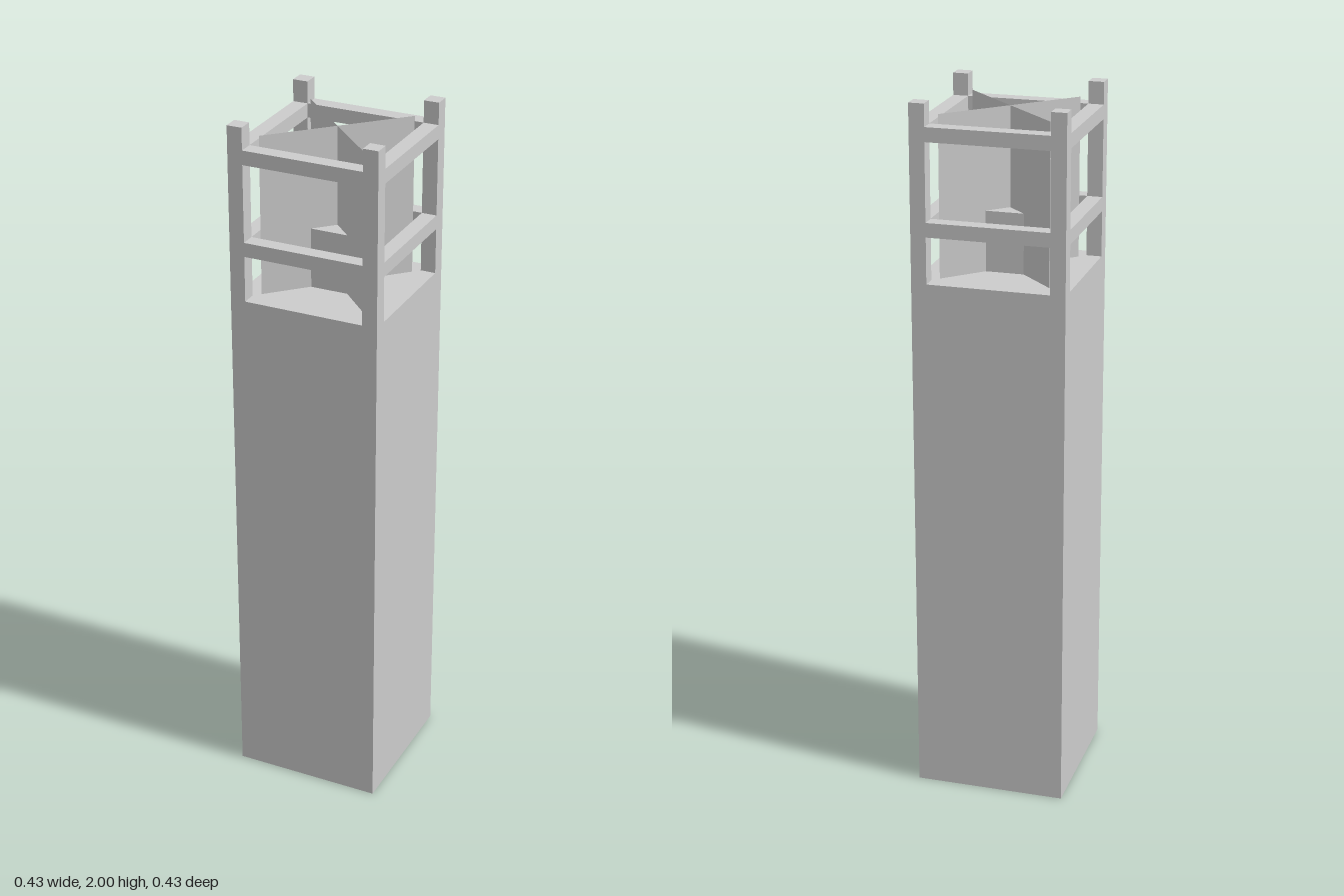
import * as THREE from 'three';

const HALF = 0.214;     // half width of the tower
const POST = 0.043;     // post and rail thickness
const DECK = 1.51;      // top of the shaft
const TOP = 2;

export function createModel() {
  const model = new THREE.Group();
  model.name = 'lanternTower';
  const solid = new THREE.MeshStandardMaterial({ color: 0xcccccc, flatShading: true });
  const sheet = new THREE.MeshStandardMaterial({ color: 0xcccccc, flatShading: true, side: THREE.DoubleSide });

  const add = (name, geometry, material, x, y, z, turn = 0) => {
    const mesh = new THREE.Mesh(geometry, material);
    mesh.name = name;
    mesh.position.set(x, y, z);
    mesh.rotation.y = turn;
    model.add(mesh);
    return mesh;
  };

  // Hollow shaft: a box without its bottom face
  const shaft = new THREE.BoxGeometry(HALF * 2, DECK, HALF * 2);
  const index = Array.from(shaft.index.array);
  index.splice(18, 6);
  shaft.setIndex(index);
  shaft.clearGroups();
  add('shaft', shaft, sheet, 0, DECK / 2, 0);

  // Corner posts
  const c = HALF - POST / 2;
  const postGeo = new THREE.BoxGeometry(POST, TOP - DECK, POST);
  for (const x of [-c, c]) {
    for (const z of [-c, c]) add('cornerPost', postGeo, solid, x, (DECK + TOP) / 2, z);
  }

  // Two rings of rails between the posts
  const railGeo = new THREE.BoxGeometry((HALF - POST) * 2, 0.04, POST);
  for (const [name, y] of [['lowerRail', 1.66], ['upperRail', 1.918]]) {
    for (let i = 0; i < 4; i++) {
      const a = i * Math.PI / 2;
      add(name, railGeo, solid, Math.sin(a) * c, y, Math.cos(a) * c, a);
    }
  }

  // Burner block in the middle of the deck
  add('burnerBlock', new THREE.BoxGeometry(0.107, 0.17, 0.107), solid, 0, DECK + 0.085, 0);

  // Two crossed diagonal sheets forming the flame
  const flameGeo = new THREE.PlaneGeometry(0.153 * 2 * Math.SQRT2, 0.45);
  for (const a of [Math.PI / 4, -Math.PI / 4]) add('flameSheet', flameGeo, sheet, 0, DECK + 0.225, 0, a);

  return model;
}
